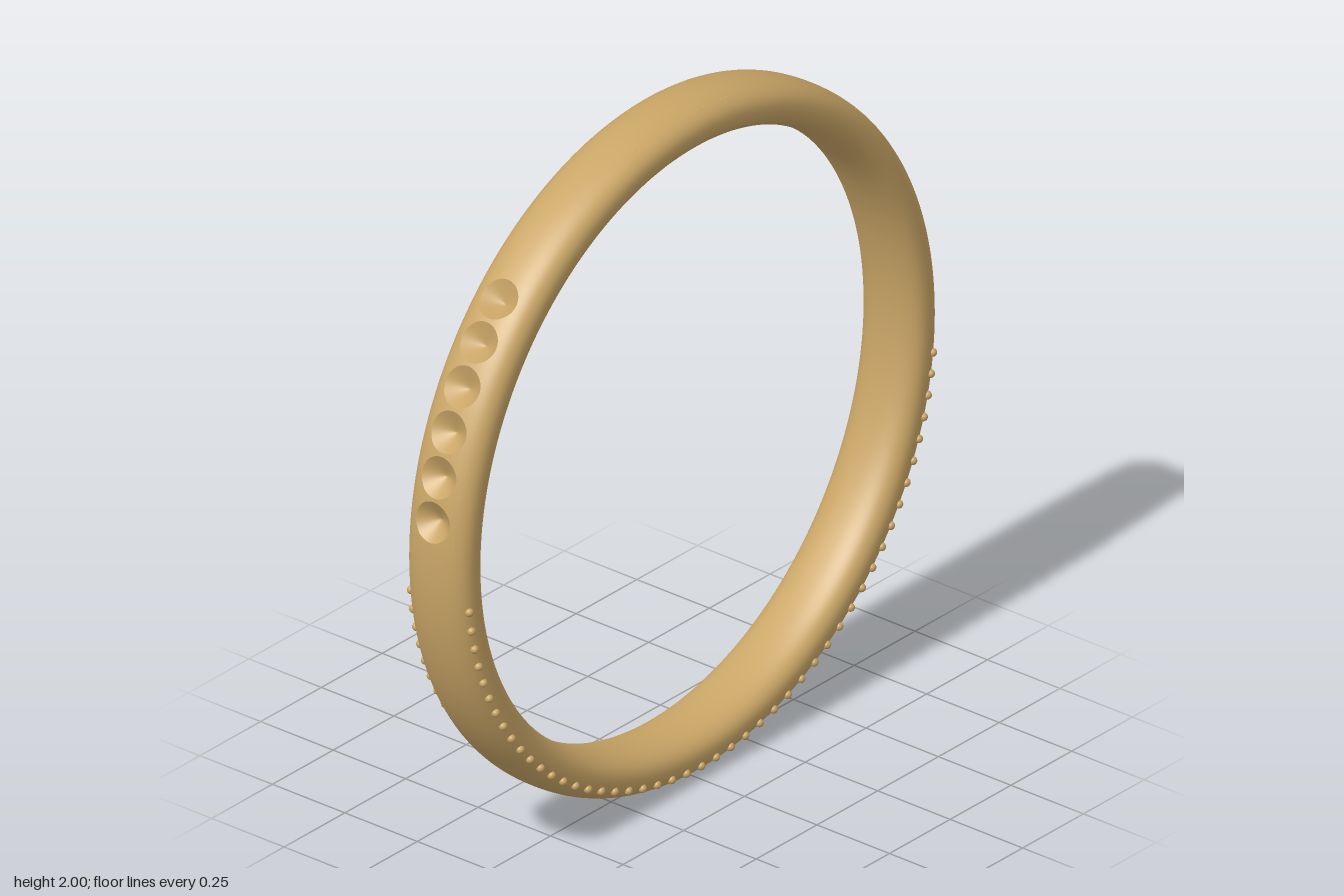
import * as THREE from 'three';
import { ParametricGeometry } from 'three/addons/geometries/ParametricGeometry.js';

const MID = 0.935, THICK = 0.065, HALF_W = 0.104; // band cross-section
const POWER = 2.4;                                // roundness of the cross-section
const STRIP = 0.07;                               // half width of the strip holding the hollows
const HOLLOWS = 6, FIRST = 8, STEP = 7.25;        // hollow angles in degrees
const RIM = 0.058, DEPTH = 0.042;
const rad = THREE.MathUtils.degToRad;

const polar = (target, r, angle, z) =>
  target.set(r * Math.cos(angle), 1 + r * Math.sin(angle), z);

// Radius of the outer face at a given z
const outerR = (z) =>
  MID + THICK * Math.pow(1 - Math.pow(Math.abs(z) / HALF_W, POWER), 1 / POWER);

const signedPow = (v) => Math.sign(v) * Math.pow(Math.abs(v), 2 / POWER);

export function createModel() {
  const group = new THREE.Group();
  const gold = new THREE.MeshStandardMaterial({ color: 0xc9a566 });

  const add = (name, geometry, parent = group) => {
    const mesh = new THREE.Mesh(geometry, gold);
    mesh.name = name;
    parent.add(mesh);
    return mesh;
  };

  // Sides and inside of the band, all the way round
  const start = Math.acos(Math.pow(STRIP / HALF_W, POWER / 2));
  const p0 = Math.PI - start, p1 = 2 * Math.PI + start;
  add('band', new ParametricGeometry((u, v, t) => {
    const p = p0 + (p1 - p0) * v;
    polar(t, MID + THICK * signedPow(Math.sin(p)), u * 2 * Math.PI, -HALF_W * signedPow(Math.cos(p)));
  }, 240, 48));

  // Plain stretches of the outer face, over the top and under the bottom
  const low = FIRST - STEP / 2, high = low + HOLLOWS * STEP;
  const outerStrip = (name, from, to, segments) =>
    add(name, new ParametricGeometry((u, v, t) => {
      const z = STRIP * (2 * v - 1);
      polar(t, outerR(z), rad(from + (to - from) * u), z);
    }, segments, 12));
  outerStrip('topOuterFace', high, 180 - high, 60);
  outerStrip('bottomOuterFace', 180 - low, 360 + low, 126);

  // Rows of round hollows, each sunk in its own square of the outer face
  for (const side of ['left', 'right']) {
    const row = new THREE.Group();
    row.name = side + 'Hollows';
    group.add(row);
    for (let i = 0; i < HOLLOWS; i++) {
      const degrees = FIRST + i * STEP;
      const centre = rad(side === 'left' ? degrees : 180 - degrees);

      // Face between the square border and the round rim
      add('hollowSurround', new ParametricGeometry((u, v, t) => {
        const c = Math.cos(u * 2 * Math.PI), s = Math.sin(u * 2 * Math.PI);
        const square = 1 / Math.max(Math.abs(c), Math.abs(s));
        const da = THREE.MathUtils.lerp(rad(STEP / 2) * square, RIM, v) * c;
        const z = THREE.MathUtils.lerp(STRIP * square, RIM, v) * s;
        polar(t, outerR(z), centre + da, z);
      }, 48, 4), row);

      // Tapered hollow
      add('hollow', new ParametricGeometry((u, v, t) => {
        const c = Math.cos(u * 2 * Math.PI), s = Math.sin(u * 2 * Math.PI);
        const k = 1 - 0.999 * v;
        const r = THREE.MathUtils.lerp(1 - DEPTH, outerR(RIM * s), Math.pow(k, 1.2));
        polar(t, r, centre + k * RIM * c, k * RIM * s);
      }, 48, 10), row);
    }
  }

  // Beads along the lower half of both edges
  const bead = new THREE.SphereGeometry(0.012, 14, 10);
  for (const [name, z] of [['frontBeads', 0.1], ['backBeads', -0.1]]) {
    const row = new THREE.Group();
    row.name = name;
    group.add(row);
    for (let i = -23; i <= 23; i++) {
      polar(add('bead', bead, row).position, 0.96, rad(270 + i * 3.625), z);
    }
  }
  return group;
}
